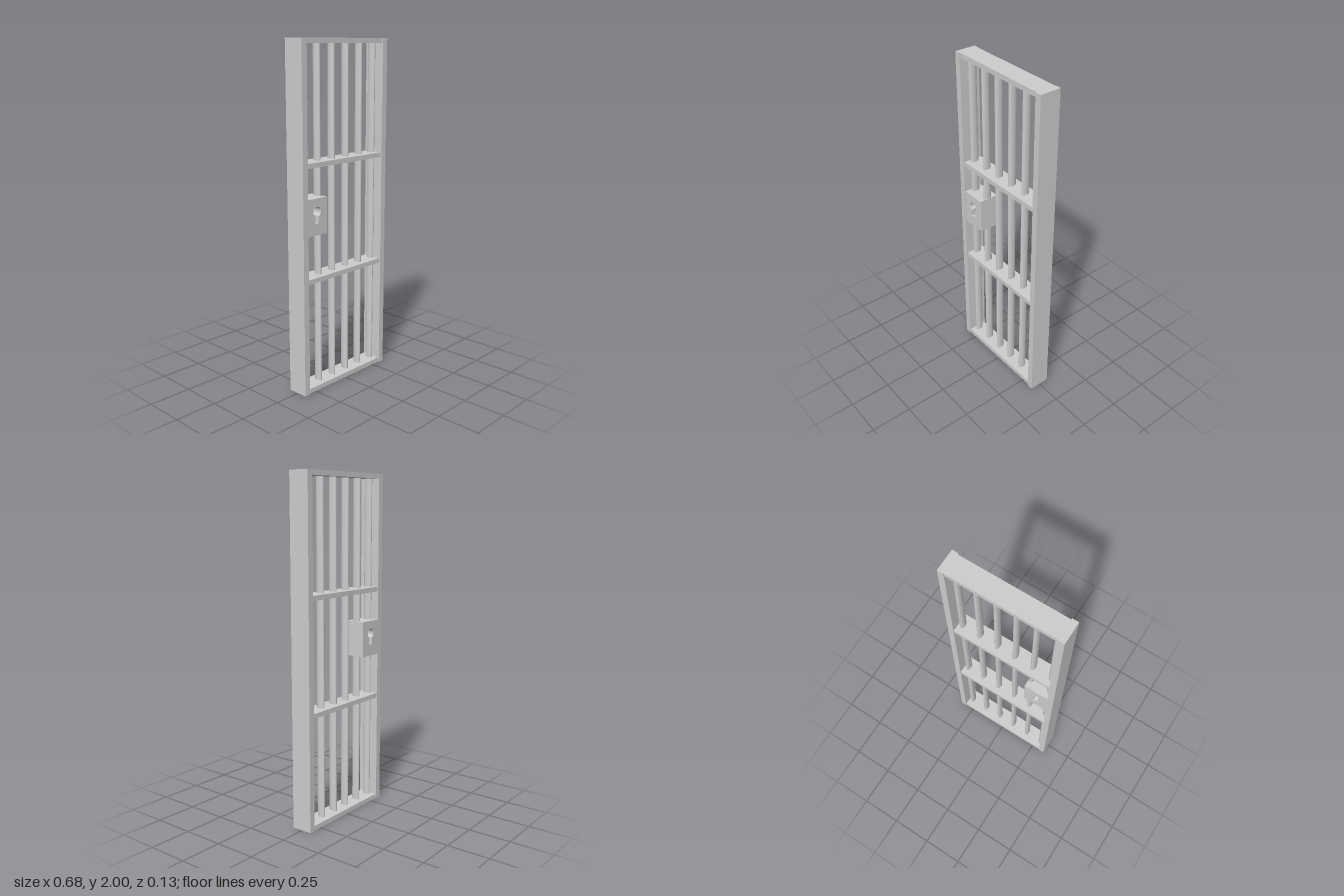
import * as THREE from 'three';

const material = new THREE.MeshStandardMaterial({ color: 0xcccccc });

export function createModel() {
  const group = new THREE.Group();
  const add = (name, geometry, x, y, z) => {
    const mesh = new THREE.Mesh(geometry, material);
    mesh.name = name;
    mesh.position.set(x, y, z);
    group.add(mesh);
    return mesh;
  };

  // Upright frame sides
  for (const [name, s] of [['leftStile', 1], ['rightStile', -1]]) {
    add(name, new THREE.BoxGeometry(0.037, 2, 0.126), s * 0.3225, 1, 0);
  }

  // Horizontal rails, slightly shallower than the stiles
  const rails = { bottomRail: 0.014, lowerRail: 0.672, upperRail: 1.327, topRail: 1.986 };
  for (const [name, y] of Object.entries(rails)) {
    add(name, new THREE.BoxGeometry(0.63, 0.028, 0.116), 0.003, y, -0.002);
  }

  // Upright bars with an oval section, deeper than wide
  const barGeometry = new THREE.CylinderGeometry(1, 1, 1.97, 24, 1, true);
  for (let i = 0; i < 6; i++) {
    add('bar' + (i + 1), barGeometry, -0.283 + i * 0.1127, 1, -0.002).scale.set(0.0135, 1, 0.025);
  }

  // Lock box with a keyhole cut right through
  const w = 0.155, h = 0.209, depth = 0.12;
  const plate = new THREE.Shape([
    new THREE.Vector2(-w / 2, -h / 2), new THREE.Vector2(w / 2, -h / 2),
    new THREE.Vector2(w / 2, h / 2), new THREE.Vector2(-w / 2, h / 2),
  ]);
  const keyhole = new THREE.Path();
  const r = 0.029, slot = 0.015, cx = 0.001, cy = 0.029;
  const a = Math.asin(slot / r);
  keyhole.moveTo(cx - slot, -0.037);
  keyhole.lineTo(cx + slot, -0.037);
  keyhole.absarc(cx, cy, r, -Math.PI / 2 + a, Math.PI * 1.5 - a, false);
  keyhole.closePath();
  plate.holes.push(keyhole);
  const lock = new THREE.ExtrudeGeometry(plate, { depth, bevelEnabled: false, curveSegments: 24 });
  add('lockBox', lock, -0.2325, 1.0385, -0.062);

  return group;
}
